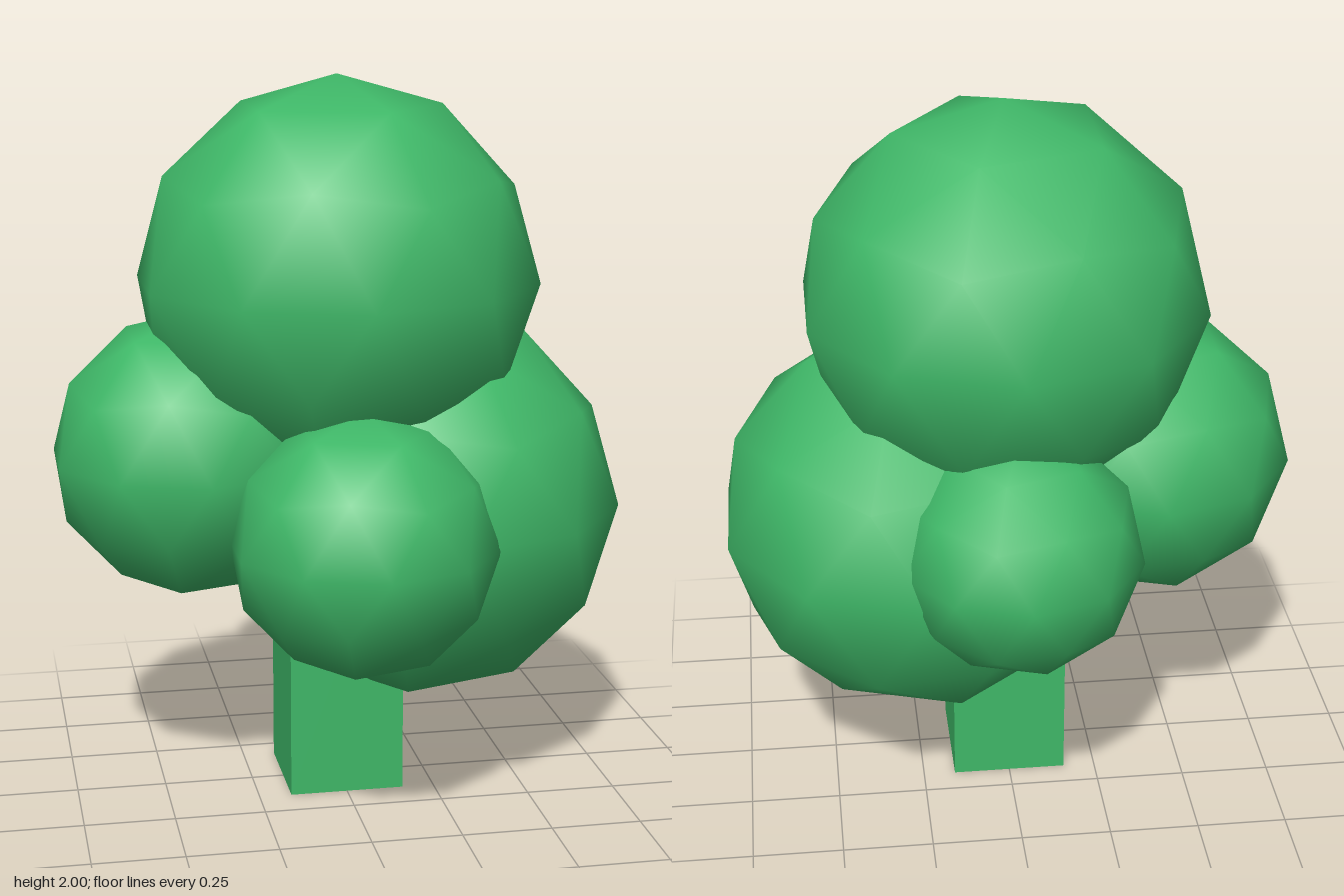
import * as THREE from 'three';

const green = new THREE.MeshStandardMaterial({ color: 0x3fb868 });

// Smooth low-poly ball, turned so one corner points straight up
function foliageBall(name, radius, x, y, z) {
  const geometry = new THREE.IcosahedronGeometry(radius, 1);
  const goldenRatio = (1 + Math.sqrt(5)) / 2;
  geometry.rotateZ(-Math.atan(1 / goldenRatio));
  const ball = new THREE.Mesh(geometry, green);
  ball.name = name;
  ball.position.set(x, y, z);
  return ball;
}

export function createModel() {
  const tree = new THREE.Group();
  tree.name = 'tree';

  // Square trunk, running up into the foliage
  const trunkHeight = 0.9;
  const trunk = new THREE.Mesh(new THREE.BoxGeometry(0.32, trunkHeight, 0.32), green);
  trunk.name = 'trunk';
  trunk.position.set(0, trunkHeight / 2, -0.015);
  tree.add(trunk);

  // Five overlapping clumps of leaves
  tree.add(
    foliageBall('topFoliage', 0.56, 0, 1.44, -0.02),
    foliageBall('leftFoliage', 0.56, 0.24, 0.805, -0.02),
    foliageBall('rightFoliage', 0.4, -0.4, 0.965, -0.02),
    foliageBall('frontFoliage', 0.363, 0, 0.797, 0.385),
    foliageBall('backFoliage', 0.335, 0, 0.885, -0.417),
  );

  return tree;
}
